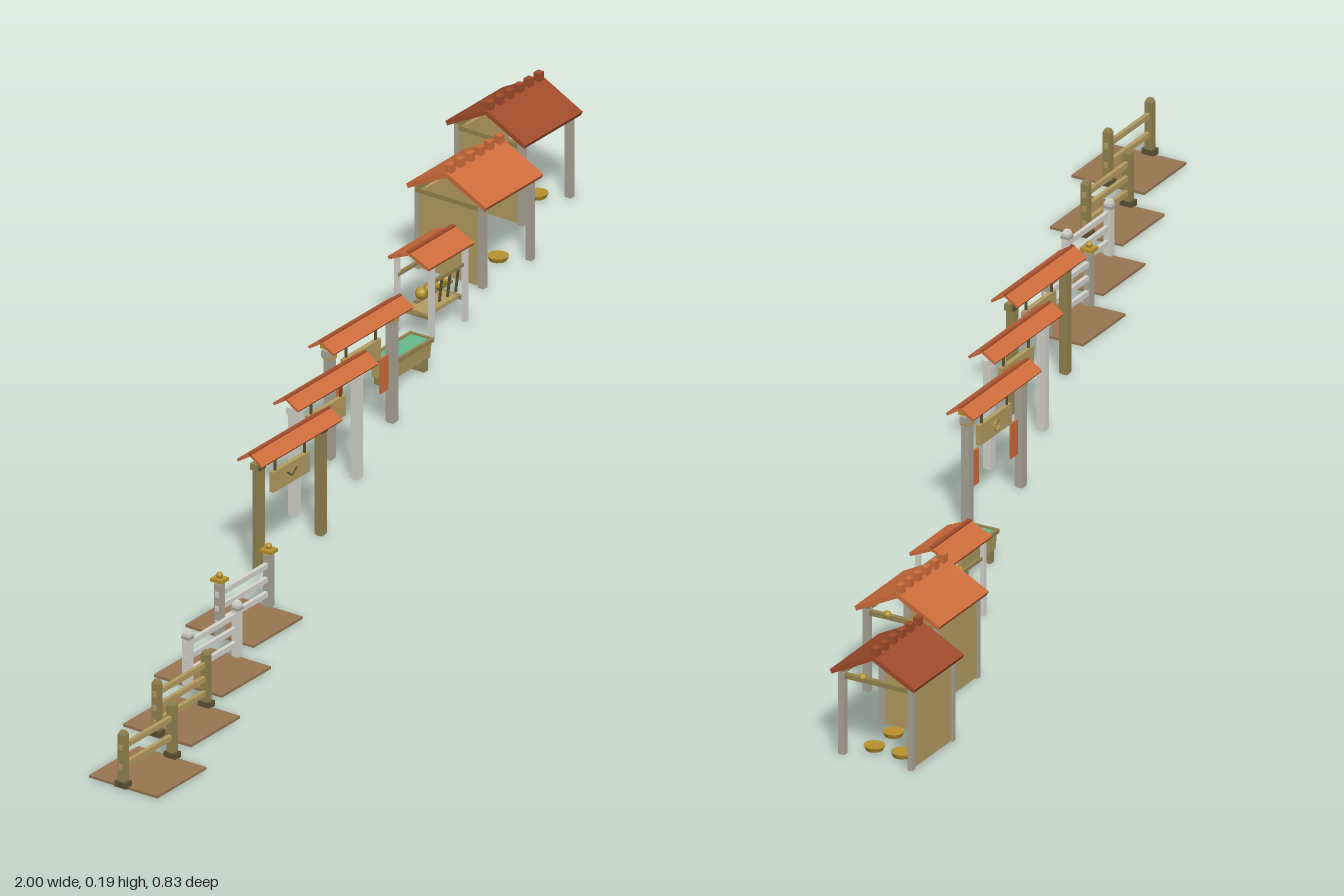
import * as THREE from 'three';

const mats = {};
const mat = (c) => (mats[c] ??= new THREE.MeshStandardMaterial({ color: c, flatShading: true }));
const TAN = 0xb59c62, WOOD = 0x94824e, DARK = 0x5c5232, PALE = 0xd6d6ce, GREY = 0xaaa596;
const ORANGE = 0xcf6d3c, RUST = 0xa04c2c, GOLD = 0xb8922c, GREEN = 0x66bb8a, EARTH = 0x9a7650;

function add(parent, name, geo, color, x = 0, y = 0, z = 0) {
  const m = new THREE.Mesh(geo, mat(color));
  m.name = name;
  m.position.set(x, y, z);
  parent.add(m);
  return m;
}
const box = (p, name, c, w, h, d, x, y, z) => add(p, name, new THREE.BoxGeometry(w, h, d), c, x, y, z);
const drum = (p, name, c, r1, r2, h, x, y, z, n = 8) =>
  add(p, name, new THREE.CylinderGeometry(r1, r2, h, n), c, x, y, z);
const ball = (p, name, c, r, x, y, z) => add(p, name, new THREE.SphereGeometry(r, 10, 8), c, x, y, z);

function unit(root, name, x, z) {
  const g = new THREE.Group();
  g.name = name;
  g.position.set(x, 0, z);
  root.add(g);
  return g;
}

// Two sloping slabs meeting at a ridge that runs along x
function gable(p, color, length, half, apex, eave, t) {
  const rise = apex - eave;
  for (const s of [1, -1]) {
    const slab = box(p, 'roofSlope', color, length, t, Math.hypot(half, rise),
      0, (apex + eave) / 2 - t / 2, s * half / 2);
    slab.rotation.x = s * Math.atan2(rise, half);
  }
}

function fence(root, i, x, z, color, railColor, rails) {
  const g = unit(root, 'fence' + i, x, z);
  box(g, 'groundPlate', EARTH, 0.12, 0.004, 0.12, 0, 0.002, 0);
  for (const s of [1, -1]) {
    const px = s * 0.06;
    box(g, 'fencePost', color, 0.011, 0.082, 0.012, px, 0.045, 0);
    const top = drum(g, 'postTop', color, 0.005, 0.0078, 0.005, px, 0.0885, 0, 4);
    top.rotation.y = Math.PI / 4;
    if (i <= 2) box(g, 'postFoot', DARK, 0.015, 0.009, 0.02, px, 0.0075, 0);
    if (i === 3) box(g, 'postBand', GREY, 0.013, 0.004, 0.014, px, 0.08, 0);
    if (i === 4) {
      box(g, 'postCap', GOLD, 0.018, 0.005, 0.02, px, 0.092, 0);
      ball(g, 'capKnob', GOLD, 0.005, px, 0.099, 0);
    }
  }
  for (const y of rails) box(g, 'fenceRail', railColor, 0.134, 0.008, 0.006, 0, y, 0);
}

function gate(root, i, x, z, color) {
  const g = unit(root, 'gate' + i, x, z);
  for (const s of [1, -1]) {
    const px = s * 0.076;
    box(g, 'gatePost', color, 0.013, 0.172, 0.013, px, 0.088, 0);
    box(g, 'postFoot', color, 0.010, 0.004, 0.010, px, 0.002, 0);
    if (i === 1) box(g, 'postCollar', DARK, 0.015, 0.01, 0.015, px, 0.168, 0);
    if (i > 1) box(g, 'postCollar', i === 2 ? PALE : TAN, 0.015, 0.006, 0.015, px, 0.162, 0);
    box(g, 'signHanger', DARK, 0.003, 0.024, 0.003, s * 0.036, 0.156, 0);
    if (i === 3) box(g, 'banner', ORANGE, 0.02, 0.055, 0.003, s * 0.056, 0.083, 0);
  }
  box(g, 'crossBeam', color, 0.18, 0.01, 0.01, 0, 0.17, 0);
  gable(g, ORANGE, 0.195, 0.022, 0.194, 0.18, 0.004);
  box(g, 'ridge', RUST, 0.195, 0.003, 0.005, 0, 0.193, 0);
  box(g, 'signBoard', TAN, 0.09, 0.032, 0.007, 0, 0.129, 0);
  // Small ornament on both sides of the board
  for (const s of [1, -1]) {
    if (i === 1) for (const k of [1, -1])
      box(g, 'signOrnament', DARK, 0.014, 0.002, 0.002, k * 0.006, 0.129, s * 0.004).rotation.z = k * 0.7;
    else add(g, 'signOrnament', new THREE.TorusGeometry(0.008, 0.0013, 4, 12), i === 2 ? DARK : GOLD, 0, 0.129, s * 0.004);
  }
  if (i === 3) box(g, 'topPlaque', GOLD, 0.18, 0.007, 0.014, 0, 0.182, 0);
}

// Box whose lower edge is drawn in
function taperedBox(w, h, d, k) {
  const geo = new THREE.BoxGeometry(w, h, d), p = geo.attributes.position;
  for (let i = 0; i < p.count; i++) if (p.getY(i) < 0) p.setZ(i, p.getZ(i) * k);
  geo.computeVertexNormals();
  return geo;
}

function trough(root, x, z) {
  const g = unit(root, 'trough', x, z);
  add(g, 'basin', taperedBox(0.1, 0.028, 0.036, 0.85), TAN, 0, 0.03, 0);
  for (const s of [1, -1]) {
    box(g, 'longRim', WOOD, 0.104, 0.006, 0.005, 0, 0.045, s * 0.0185);
    box(g, 'endRim', WOOD, 0.005, 0.006, 0.037, s * 0.0495, 0.045, 0);
    box(g, 'trestle', WOOD, 0.01, 0.02, 0.036, s * 0.036, 0.01, 0);
  }
  box(g, 'water', GREEN, 0.094, 0.002, 0.032, 0, 0.045, 0);
}

function rack(root, x, z) {
  const g = unit(root, 'ladleStand', x, z);
  for (const sx of [1, -1]) {
    for (const sz of [1, -1])
      box(g, 'standPost', PALE, 0.007, 0.122, 0.007, sx * 0.041, 0.061, sz * 0.03);
    box(g, 'sideRail', WOOD, 0.006, 0.006, 0.06, sx * 0.041, 0.036, 0);
  }
  gable(g, ORANGE, 0.11, 0.036, 0.137, 0.121, 0.005);
  box(g, 'ridge', RUST, 0.11, 0.004, 0.006, 0, 0.137, 0);
  box(g, 'shelf', TAN, 0.088, 0.006, 0.04, 0, 0.036, 0);
  for (const sz of [1, -1]) box(g, 'hangingRail', WOOD, 0.088, 0.005, 0.005, 0, 0.09, sz * 0.028);
  for (let i = 0; i < 4; i++) {
    const px = -0.03 + i * 0.02;
    box(g, 'ladleHandle', DARK, 0.003, 0.04, 0.003, px, 0.068, 0.024).rotation.x = 0.12;
    ball(g, 'ladleBowl', GOLD, 0.009, px, 0.064, 0.004);
  }
  box(g, 'ladleBar', WOOD, 0.088, 0.004, 0.006, 0, 0.055, 0.004);
}

function stall(root, i, x, z, roofColor) {
  const g = unit(root, 'stall' + i, x, z);
  // Walls close the back and one side only
  box(g, 'backWall', TAN, 0.116, 0.12, 0.006, 0, 0.062, -0.056);
  box(g, 'sideWall', TAN, 0.006, 0.12, 0.116, -0.058, 0.062, 0);
  for (const sx of [1, -1]) {
    box(g, 'frontPost', GREY, 0.01, 0.13, 0.01, sx * 0.058, 0.065, 0.056);
    box(g, 'backPost', GREY, 0.008, 0.13, 0.008, sx * 0.058, 0.065, -0.057);
    box(g, 'sideBeam', WOOD, 0.008, 0.007, 0.122, sx * 0.058, 0.124, 0);
  }
  for (const sz of [1, -1]) box(g, 'eaveBeam', WOOD, 0.124, 0.007, 0.008, 0, 0.13, sz * 0.056);
  gable(g, roofColor, 0.14, 0.069, 0.17, 0.134, 0.007);
  for (let k = 0; k < 6; k++)
    box(g, 'ridgeBlock', roofColor, 0.012, 0.016, 0.01, -0.06 + k * 0.024, 0.173, 0);
  // Low round seats on the floor
  for (const sz of [1, -1])
    for (const sx of [1, -1]) drum(g, 'seat', GOLD, 0.016, 0.013, 0.007, sx * 0.027, 0.0055, sz * 0.0225 - 0.001, 12);
  ball(g, 'hangingLantern', GOLD, 0.006, 0.058, 0.127, 0.023);
}

export function createModel() {
  const root = new THREE.Group();
  root.name = 'yardFurnitureSet';

  fence(root, 1, -0.932, 0.353, WOOD, TAN, [0.036, 0.066]);
  fence(root, 2, -0.765, 0.292, WOOD, TAN, [0.025, 0.048, 0.07]);
  fence(root, 3, -0.605, 0.231, PALE, PALE, [0.025, 0.048, 0.07]);
  fence(root, 4, -0.443, 0.17, GREY, PALE, [0.025, 0.048, 0.07]);

  gate(root, 1, -0.215, 0.086, WOOD);
  gate(root, 2, -0.033, 0.018, PALE);
  gate(root, 3, 0.15, -0.052, GREY);

  trough(root, 0.355, -0.129);
  rack(root, 0.52, -0.195);
  stall(root, 1, 0.725, -0.266, ORANGE);
  stall(root, 2, 0.928, -0.343, RUST);
  return root;
}
